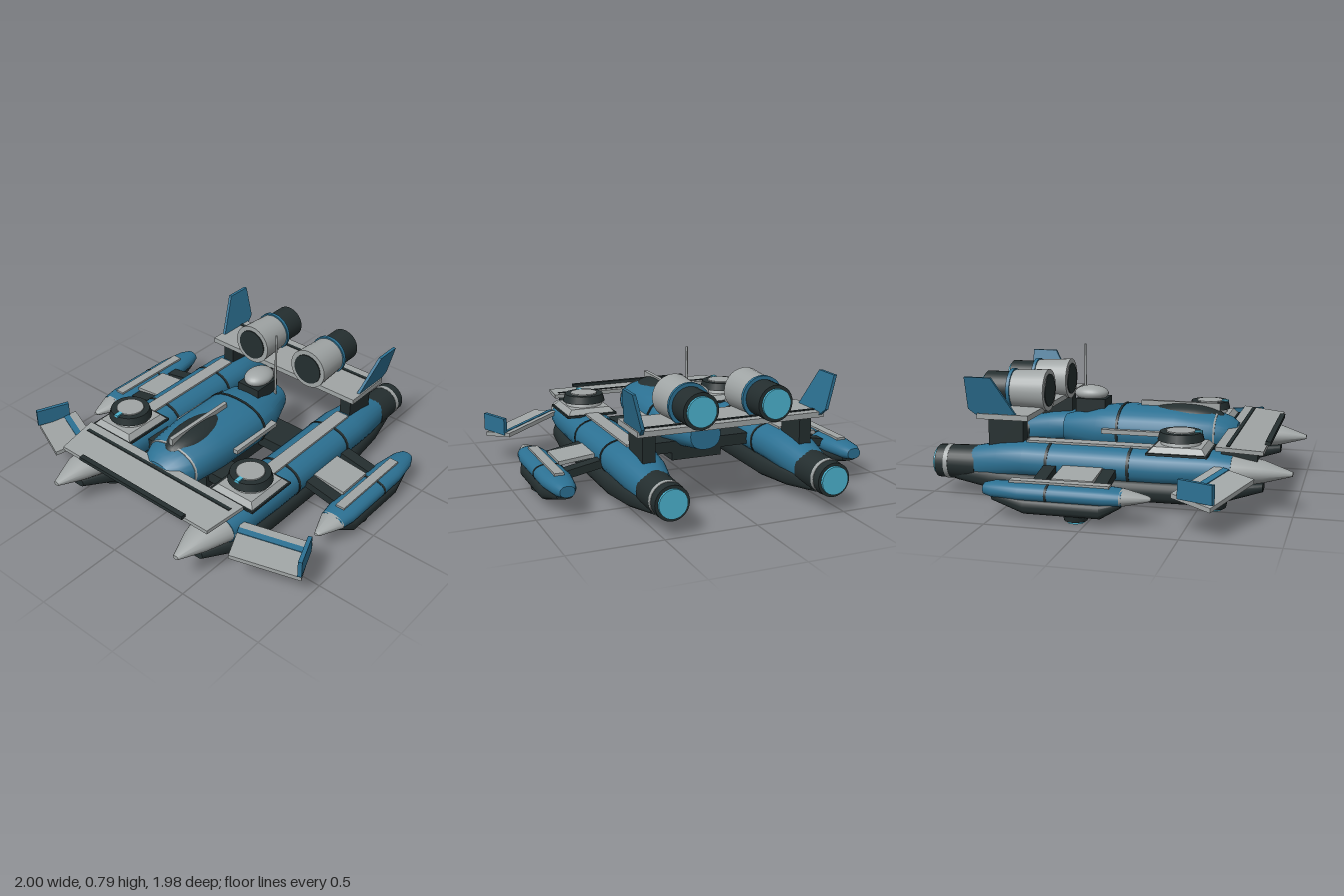
import * as THREE from 'three';
import { toCreasedNormals } from 'three/addons/utils/BufferGeometryUtils.js';
import { ConvexGeometry } from 'three/addons/geometries/ConvexGeometry.js';

const mat = (name, color) => new THREE.MeshStandardMaterial({ name, color });

export function createModel() {
  const root = new THREE.Group();
  root.name = 'hoverCraft';
  const blue = mat('hull blue', 0x2c7193);
  const gray = mat('panel gray', 0xa0a5a5);
  const dark = mat('charcoal', 0x242e2f);
  const cyan = mat('thruster glow', 0x4cb4d0);

  const add = (parent, name, geo, m, x = 0, y = 0, z = 0) => {
    const mesh = new THREE.Mesh(geo, m);
    mesh.name = name;
    mesh.position.set(x, y, z);
    parent.add(mesh);
    return mesh;
  };
  // box given by its min and max on each axis
  const box = (p, name, m, x0, x1, y0, y1, z0, z1) =>
    add(p, name, new THREE.BoxGeometry(Math.abs(x1 - x0), y1 - y0, z1 - z0), m, (x0 + x1) / 2, (y0 + y1) / 2, (z0 + z1) / 2);
  // cylinder along z, from front z0 to back z1
  const tubeZ = (p, name, m, rFront, rBack, z0, z1, x, y) =>
    add(p, name, new THREE.CylinderGeometry(rFront, rBack, z0 - z1, 28).rotateX(Math.PI / 2), m, x, y, (z0 + z1) / 2);
  // upright cylinder from y0 to y1
  const post = (p, name, m, rTop, rBot, y0, y1, x, z, sides = 28) =>
    add(p, name, new THREE.CylinderGeometry(rTop, rBot, y1 - y0, sides), m, x, (y0 + y1) / 2, z);
  // convex slab: corner points swept by an offset
  const slab = (p, name, m, s, corners, off) => {
    const pts = corners.flatMap(([x, y, z]) => [
      new THREE.Vector3(s * x, y, z), new THREE.Vector3(s * (x + off[0]), y + off[1], z + off[2])]);
    return add(p, name, new ConvexGeometry(pts), m);
  };
  // capped loft through rounded sections [z, centreY, halfWidth, halfHeight], front to back
  const loft = (p, name, m, sections, x = 0, n = 2.3, sides = 24) => {
    const pos = [], idx = [];
    for (const [z, cy, rx, ry] of sections)
      for (let j = 0; j < sides; j++) {
        const t = (j / sides) * Math.PI * 2, c = Math.cos(t), s = Math.sin(t);
        pos.push(Math.sign(c) * Math.abs(c) ** (2 / n) * rx, cy + Math.sign(s) * Math.abs(s) ** (2 / n) * ry, z);
      }
    const last = sections.length - 1, front = pos.length / 3;
    pos.push(0, sections[0][1], sections[0][0], 0, sections[last][1], sections[last][0]);
    for (let j = 0; j < sides; j++) {
      const k = (j + 1) % sides;
      for (let i = 0; i < last; i++) {
        const a = i * sides + j, b = i * sides + k;
        idx.push(a, a + sides, b, b, a + sides, b + sides);
      }
      idx.push(front, j, k, front + 1, last * sides + k, last * sides + j);
    }
    const g = new THREE.BufferGeometry();
    g.setAttribute('position', new THREE.Float32BufferAttribute(pos, 3));
    g.setIndex(idx);
    return add(p, name, toCreasedNormals(g, 0.5), m, x);
  };
  const liftPad = (p, x, z, r, top) => {
    post(p, 'liftPadHousing', dark, r * 1.2, r, 0.012, top, x, z);
    post(p, 'liftPadGlow', cyan, r * 0.75, r * 0.75, 0, 0.02, x, z);
  };
  // point on the canard plane: u along the span, v along the chord
  const canardPoint = (u, v, lift = 0) =>
    [0.56 + 0.34 * u + 0.09 * v, 0.265 - 0.065 * u - 0.035 * v + lift, 0.605 - 0.165 * u + 0.21 * v];

  // central fuselage
  const body = new THREE.Group();
  body.name = 'fuselage';
  root.add(body);
  loft(body, 'fuselageShell', blue, [
    [0.65, 0.305, 0.055, 0.04], [0.64, 0.308, 0.095, 0.068], [0.6, 0.313, 0.14, 0.092], [0.5, 0.318, 0.183, 0.12], [0.3, 0.32, 0.205, 0.135],
    [0, 0.32, 0.21, 0.135], [-0.15, 0.315, 0.19, 0.125], [-0.37, 0.3, 0.09, 0.08]]);
  loft(body, 'fuselageSeam', dark, [[-0.013, 0.32, 0.213, 0.138], [-0.027, 0.32, 0.213, 0.138]]);
  loft(body, 'noseRing', gray, [[0.53, 0.317, 0.173, 0.115], [0.52, 0.317, 0.178, 0.119]]);
  box(body, 'bellyPlate', dark, -0.15, 0.15, 0.14, 0.22, -0.25, 0.42);
  const canopy = add(body, 'canopy', new THREE.SphereGeometry(1, 32, 20), dark, 0, 0.404, 0.335);
  canopy.scale.set(0.11, 0.07, 0.23);
  box(body, 'canopySpine', gray, -0.012, 0.012, 0.44, 0.483, 0.08, 0.535);
  box(body, 'sensorPedestal', dark, -0.075, 0.075, 0.41, 0.487, -0.295, -0.12);
  add(body, 'sensorDome', new THREE.SphereGeometry(1, 28, 18), gray, 0, 0.511, -0.22).scale.set(0.077, 0.045, 0.1);
  post(body, 'antenna', gray, 0.006, 0.008, 0.38, 0.785, 0.075, -0.28, 8);

  // front and rear wings
  slab(root, 'frontWing', gray, 1, [[-0.57, 0.365, 0.6], [0.57, 0.365, 0.6], [0.535, 0.345, 0.845], [-0.535, 0.345, 0.845]], [0, -0.022, 0]);
  slab(root, 'frontWingStripe', dark, 1, [[-0.53, 0.365, 0.65], [0.53, 0.365, 0.65], [0.53, 0.364, 0.67], [-0.53, 0.364, 0.67]], [0, -0.008, 0]);
  box(root, 'frontWingLip', dark, -0.38, 0.38, 0.343, 0.364, 0.835, 0.865);
  box(root, 'rearWing', gray, -0.53, 0.53, 0.436, 0.466, -0.72, -0.425);
  box(root, 'rearWingStripe', dark, -0.51, 0.51, 0.464, 0.47, -0.67, -0.65);

  for (const s of [1, -1]) {
    const side = new THREE.Group();
    side.name = s > 0 ? 'leftSide' : 'rightSide';
    root.add(side);
    const X = 0.45 * s, P = 0.845 * s, N = 0.21 * s;

    // fuselage trim and arms to the main hull
    box(side, 'fuselageRail', gray, 0.19 * s, 0.233 * s, 0.323, 0.348, -0.1, 0.25);
    box(side, 'headlamp', gray, 0.08 * s, 0.118 * s, 0.262, 0.288, 0.57, 0.635);
    box(side, 'rearArm', dark, 0.1 * s, 0.36 * s, 0.185, 0.25, -0.25, -0.04);
    box(side, 'frontArm', dark, 0.1 * s, 0.36 * s, 0.185, 0.25, 0.24, 0.4);

    // main hull
    loft(side, 'hullUpper', blue, [
      [0.68, 0.22, 0.125, 0.085], [0.58, 0.22, 0.138, 0.095], [0.3, 0.215, 0.14, 0.1], [-0.45, 0.215, 0.14, 0.1],
      [-0.6, 0.2, 0.125, 0.1], [-0.77, 0.17, 0.09, 0.095]], X);
    loft(side, 'hullLower', dark, [
      [0.84, 0.14, 0.045, 0.025], [0.65, 0.115, 0.125, 0.055], [0.45, 0.1, 0.143, 0.068], [-0.4, 0.095, 0.143, 0.068],
      [-0.65, 0.105, 0.12, 0.06], [-0.86, 0.115, 0.07, 0.04]], X, 3);
    loft(side, 'hullNose', gray, [
      [0.99, 0.215, 0.018, 0.012], [0.84, 0.22, 0.08, 0.058], [0.67, 0.22, 0.127, 0.087]], X, 2);
    for (const z of [0.14, -0.31])
      loft(side, 'hullSeam', dark, [[z + 0.008, 0.215, 0.143, 0.103], [z - 0.008, 0.215, 0.143, 0.103]], X);
    box(side, 'hullTopStrip', gray, X - 0.04, X + 0.04, 0.3, 0.324, -0.45, 0.25);
    liftPad(side, X, 0.57, 0.075, 0.08);
    liftPad(side, X, -0.285, 0.075, 0.06);

    // main engine
    tubeZ(side, 'engineBarrel', dark, 0.1, 0.092, -0.74, -0.975, X, 0.17);
    tubeZ(side, 'engineBand', gray, 0.096, 0.096, -0.9, -0.925, X, 0.17);
    tubeZ(side, 'engineGlow', cyan, 0.076, 0.076, -0.96, -0.99, X, 0.17);

    // turret on a tapered square base
    box(side, 'turretTray', dark, X - 0.15, X + 0.15, 0.305, 0.318, 0.24, 0.565);
    slab(side, 'turretBase', gray, s, [[0.31, 0.316, 0.25], [0.59, 0.316, 0.25], [0.59, 0.316, 0.555], [0.31, 0.316, 0.555],
      [0.335, 0.345, 0.275], [0.565, 0.345, 0.275], [0.565, 0.345, 0.53], [0.335, 0.345, 0.53]], [0, 0.002, 0]);
    post(side, 'turretNeck', gray, 0.1, 0.11, 0.34, 0.37, X, 0.4);
    post(side, 'turretDrum', dark, 0.112, 0.124, 0.368, 0.412, X, 0.4);
    post(side, 'turretCap', gray, 0.077, 0.08, 0.405, 0.418, X, 0.4);
    box(side, 'turretSight', cyan, X - 0.013, X + 0.013, 0.405, 0.42, 0.475, 0.515);

    // wing pylons
    box(side, 'frontWingPylon', dark, X - 0.035, X + 0.035, 0.24, 0.335, 0.62, 0.81);
    box(side, 'rearWingPylon', dark, X - 0.035, X + 0.035, 0.25, 0.44, -0.67, -0.47);

    // tail fin
    slab(side, 'tailFin', blue, s, [[0.5, 0.45, -0.49], [0.5, 0.45, -0.72], [0.51, 0.49, -0.77], [0.555, 0.672, -0.77], [0.555, 0.672, -0.62]], [0.018, 0, 0]);

    // upper nacelle
    tubeZ(side, 'nacelleShell', gray, 0.12, 0.108, -0.41, -0.62, N, 0.553);
    tubeZ(side, 'nacelleIntake', dark, 0.092, 0.092, -0.404, -0.412, N, 0.553);
    tubeZ(side, 'nacelleRing', blue, 0.117, 0.117, -0.61, -0.63, N, 0.553);
    tubeZ(side, 'nacelleBarrel', dark, 0.098, 0.098, -0.62, -0.775, N, 0.553);
    tubeZ(side, 'nacelleGlow', cyan, 0.08, 0.08, -0.77, -0.79, N, 0.553);

    // outrigger pod with struts
    loft(side, 'podUpper', blue, [
      [0.19, 0.145, 0.07, 0.042], [0.1, 0.145, 0.085, 0.048], [-0.35, 0.145, 0.085, 0.048], [-0.5, 0.145, 0.062, 0.042], [-0.55, 0.145, 0.04, 0.03]], P);
    loft(side, 'podLower', dark, [
      [0.18, 0.115, 0.05, 0.02], [0.08, 0.08, 0.085, 0.045], [-0.32, 0.08, 0.085, 0.045], [-0.5, 0.115, 0.045, 0.025]], P, 3);
    loft(side, 'podNose', gray, [[0.33, 0.145, 0.012, 0.008], [0.31, 0.145, 0.022, 0.017], [0.18, 0.145, 0.075, 0.045]], P, 2);
    loft(side, 'podSeam', dark, [[-0.192, 0.145, 0.087, 0.05], [-0.206, 0.145, 0.087, 0.05]], P);
    box(side, 'podTopStrip', gray, P - 0.027, P + 0.027, 0.18, 0.203, -0.41, 0.12);
    liftPad(side, P, -0.06, 0.06, 0.06);
    for (const z of [-0.32, 0.01])
      slab(side, 'podStrut', dark, s, [[0.54, 0.225, z], [0.8, 0.175, z], [0.8, 0.175, z + 0.07], [0.54, 0.225, z + 0.07]], [0, -0.045, 0]);
    slab(side, 'podBridge', gray, s, [[0.56, 0.225, -0.21], [0.79, 0.2, -0.21], [0.79, 0.2, 0.01], [0.56, 0.225, 0.01]], [0, -0.022, 0]);

    // canard with stripe and winglet
    slab(side, 'canard', gray, s, [canardPoint(0, 0), canardPoint(1, 0), canardPoint(1, 1), canardPoint(0, 1)], [0, -0.024, 0]);
    slab(side, 'canardStripe', blue, s,
      [canardPoint(0, 0.2, 0.004), canardPoint(0.99, 0.2, 0.004), canardPoint(0.99, 0.35, 0.004), canardPoint(0, 0.35, 0.004)], [0, -0.008, 0]);
    slab(side, 'winglet', blue, s, [[0.902, 0.18, 0.485], [0.978, 0.18, 0.67], [0.978, 0.28, 0.67], [0.902, 0.28, 0.485]], [0.02, 0, -0.01]);
  }
  return root;
}
